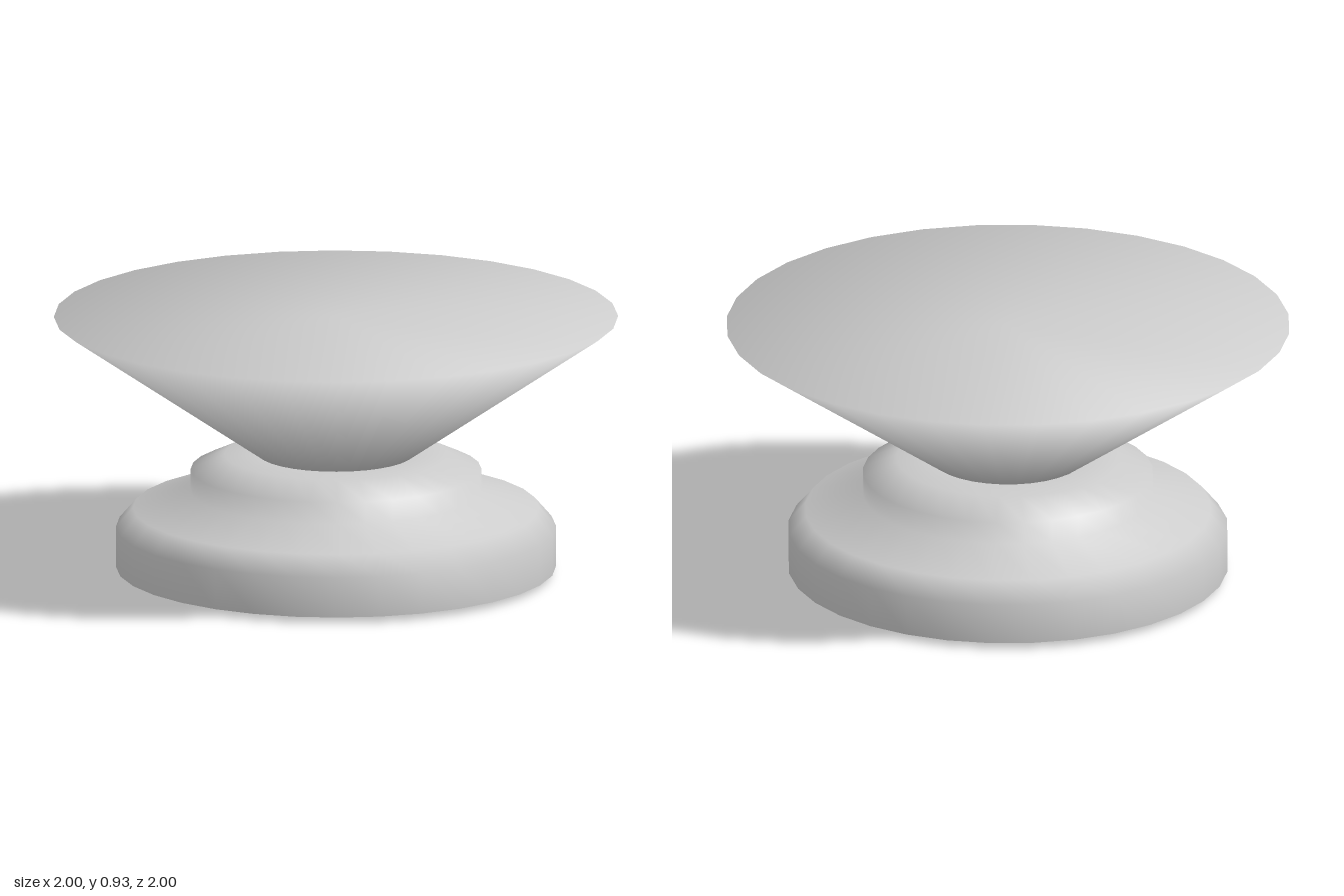
import * as THREE from 'three';

const SIDES = 32;
const material = new THREE.MeshStandardMaterial({ color: 0xcccccc, side: THREE.DoubleSide });

// Turned part from [radius, height] points
function turned(name, profile) {
  const points = profile.map(([r, y]) => new THREE.Vector2(r, y));
  const mesh = new THREE.Mesh(new THREE.LatheGeometry(points, SIDES), material);
  mesh.name = name;
  return mesh;
}

// Gives one ring of a turned part a normal tilted from straight up, for soft edges
function tiltRing(mesh, ring, ringCount, tilt) {
  const normal = mesh.geometry.attributes.normal;
  for (let i = 0; i <= SIDES; i++) {
    const a = (i / SIDES) * Math.PI * 2;
    normal.setXYZ(i * ringCount + ring,
      Math.sin(tilt) * Math.sin(a), Math.cos(tilt), Math.sin(tilt) * Math.cos(a));
  }
}

export function createModel() {
  const model = new THREE.Group();
  model.name = 'pedestalDish';

  // Flared body with a flat top, narrowing to a spike through the base
  const dish = turned('flaredTop', [[0.065, 0], [0.275, 0.43], [1, 0.93], [0, 0.93]]);
  tiltRing(dish, 2, 4, THREE.MathUtils.degToRad(31));
  model.add(dish);

  // Flat end of the spike
  model.add(turned('spikeTip', [[0, 0], [0.065, 0]]));

  // Hollow stepped base, open underneath
  model.add(turned('steppedBase', [
    [0.78, 0.02], [0.78, 0.165], [0.72, 0.235], [0.515, 0.295],
    [0.515, 0.375], [0.395, 0.43], [0.275, 0.43],
  ]));

  return model;
}
